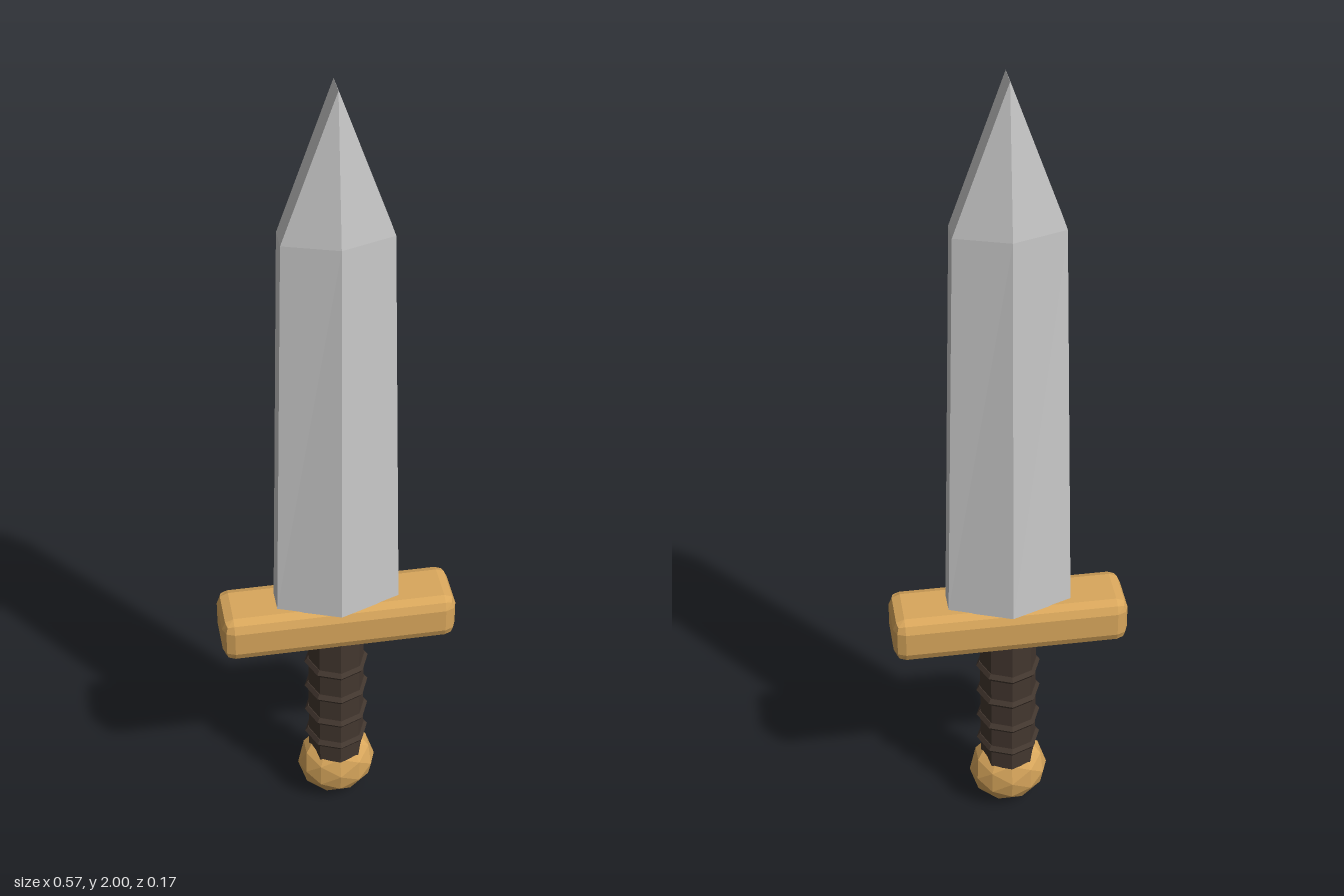
import * as THREE from 'three';
import { RoundedBoxGeometry } from 'three/addons/geometries/RoundedBoxGeometry.js';

const material = (color) => new THREE.MeshStandardMaterial({ color, flatShading: true });
const steel = material(0xcccccc);
const brass = material(0xd9a75c);
const leather = material(0x43372f);

function part(name, geometry, mat, y) {
  const mesh = new THREE.Mesh(geometry, mat);
  mesh.name = name;
  mesh.position.y = y;
  return mesh;
}

// Six-sided blade lofted through sections [y, half width, half edge thickness, half ridge thickness]
function bladeGeometry(sections) {
  const rings = sections.map(([y, x, e, r]) =>
    [[x, e], [0, r], [-x, e], [-x, -e], [0, -r], [x, -e]].map(([px, pz]) => [px, y, pz]));
  const positions = [];
  const tri = (...corners) => corners.forEach((p) => positions.push(...p));
  for (let s = 0; s < rings.length - 1; s++) {
    for (let i = 0; i < 6; i++) {
      const j = (i + 1) % 6;
      const a = rings[s][i], b = rings[s][j], c = rings[s + 1][j], d = rings[s + 1][i];
      tri(b, a, d);
      tri(b, d, c);
    }
  }
  // Base cap
  for (let i = 1; i < 5; i++) tri(rings[0][0], rings[0][i], rings[0][i + 1]);
  const geometry = new THREE.BufferGeometry();
  geometry.setAttribute('position', new THREE.Float32BufferAttribute(positions, 3));
  geometry.computeVertexNormals();
  return geometry;
}

export function createModel() {
  const model = new THREE.Group();
  model.name = 'dagger';

  model.add(part('blade', bladeGeometry([
    [0.645, 0.147, 0.029, 0.085],
    [1.65, 0.124, 0.029, 0.07],
    [2, 0, 0.029, 0.029],
  ]), steel, 0));

  model.add(part('guard', new RoundedBoxGeometry(0.566, 0.117, 0.152, 1, 0.028), brass, 0.588));

  // Octagonal grip with raised binding rings
  model.add(part('grip', new THREE.CylinderGeometry(0.069, 0.069, 0.4, 8), leather, 0.345));
  for (const y of [0.205, 0.28, 0.36, 0.44]) {
    const ring = part('gripRing', new THREE.TorusGeometry(0.068, 0.011, 5, 8), leather, y);
    ring.rotation.x = Math.PI / 2;
    model.add(ring);
  }

  // Faceted pommel, narrower front to back
  const pommel = part('pommel', new THREE.IcosahedronGeometry(0.098, 1), brass, 0.098);
  pommel.scale.z = 0.77;
  model.add(pommel);

  return model;
}
